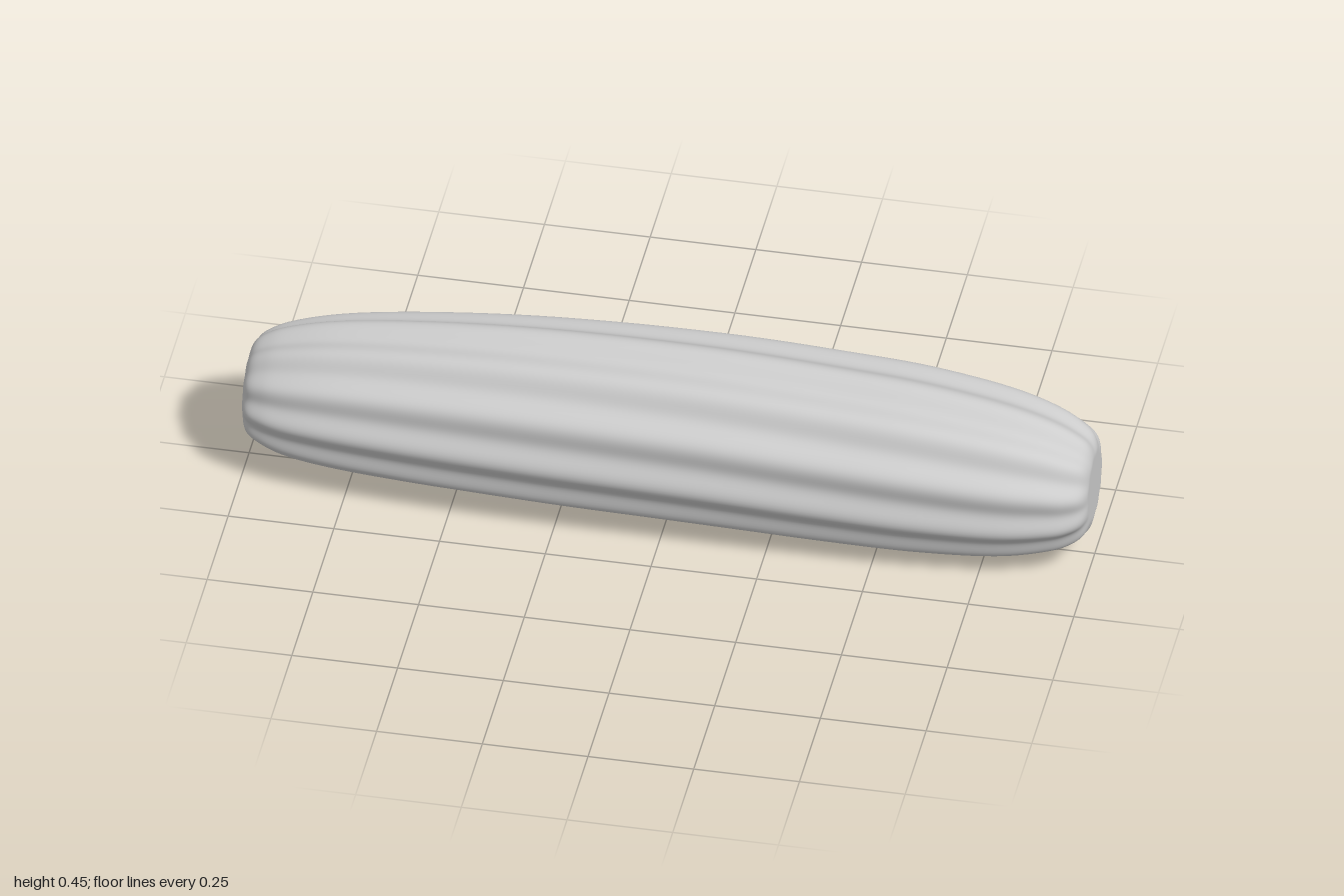
import * as THREE from 'three';

const LOBES = 11;
const SIDES = 176;
const RINGS = 110;
const TWIST = 0.15; // radians of rib rotation per unit of length

// Stations along the length: x, outer radius, height of the axis
const STATIONS = [
  [-1, 0, 0.2], [-1, 0.05, 0.2], [-0.999, 0.09, 0.2], [-0.985, 0.12, 0.2],
  [-0.95, 0.143, 0.202], [-0.9, 0.161, 0.204], [-0.8, 0.181, 0.21],
  [-0.6, 0.202, 0.218], [-0.3, 0.219, 0.226], [0.1, 0.226, 0.229],
  [0.4, 0.224, 0.222], [0.6, 0.218, 0.216], [0.8, 0.197, 0.207],
  [0.9, 0.172, 0.203], [0.95, 0.151, 0.2], [0.985, 0.124, 0.2],
  [0.999, 0.092, 0.2], [1, 0.05, 0.2], [1, 0, 0.2],
];

// Ribbed, slightly twisted and arched body, closed at both ends
function ribbedBody() {
  const curve = new THREE.CatmullRomCurve3(STATIONS.map((s) => new THREE.Vector3(...s)), false, 'centripetal');
  const positions = [];
  const index = [];
  for (let i = 0; i <= RINGS; i++) {
    const { x, y: radius, z: axis } = curve.getPoint(i / RINGS);
    // Ribs fade out on the flat end faces
    const depth = 0.04 * THREE.MathUtils.smoothstep(radius, 0.04, 0.12);
    for (let j = 0; j < SIDES; j++) {
      const a = (j / SIDES) * Math.PI * 2;
      const rib = Math.cos(LOBES * (a - TWIST * (x - 0.1))) - 1;
      const r = Math.max(radius, 0) * (1 + depth * rib);
      positions.push(THREE.MathUtils.clamp(x, -1, 1), axis + r * Math.cos(a), r * Math.sin(a));
    }
  }
  for (let i = 0; i < RINGS; i++) {
    for (let j = 0; j < SIDES; j++) {
      const k = (j + 1) % SIDES;
      const a = i * SIDES + j, b = i * SIDES + k;
      const c = a + SIDES, d = b + SIDES;
      if (i > 0) index.push(a, b, c);
      if (i < RINGS - 1) index.push(b, d, c);
    }
  }
  const geometry = new THREE.BufferGeometry();
  geometry.setAttribute('position', new THREE.Float32BufferAttribute(positions, 3));
  geometry.setIndex(index);
  geometry.computeVertexNormals();
  return geometry;
}

export function createModel() {
  const group = new THREE.Group();
  group.name = 'ribbedLoaf';
  const lightGrey = new THREE.MeshStandardMaterial({ color: 0xcccccc });
  lightGrey.name = 'lightGrey';
  const body = new THREE.Mesh(ribbedBody(), lightGrey);
  body.name = 'body';
  group.add(body);

  // Rest on the ground, centred
  const box = new THREE.Box3().setFromObject(body, true);
  body.position.set(-(box.min.x + box.max.x) / 2, -box.min.y, -(box.min.z + box.max.z) / 2);
  return group;
}
